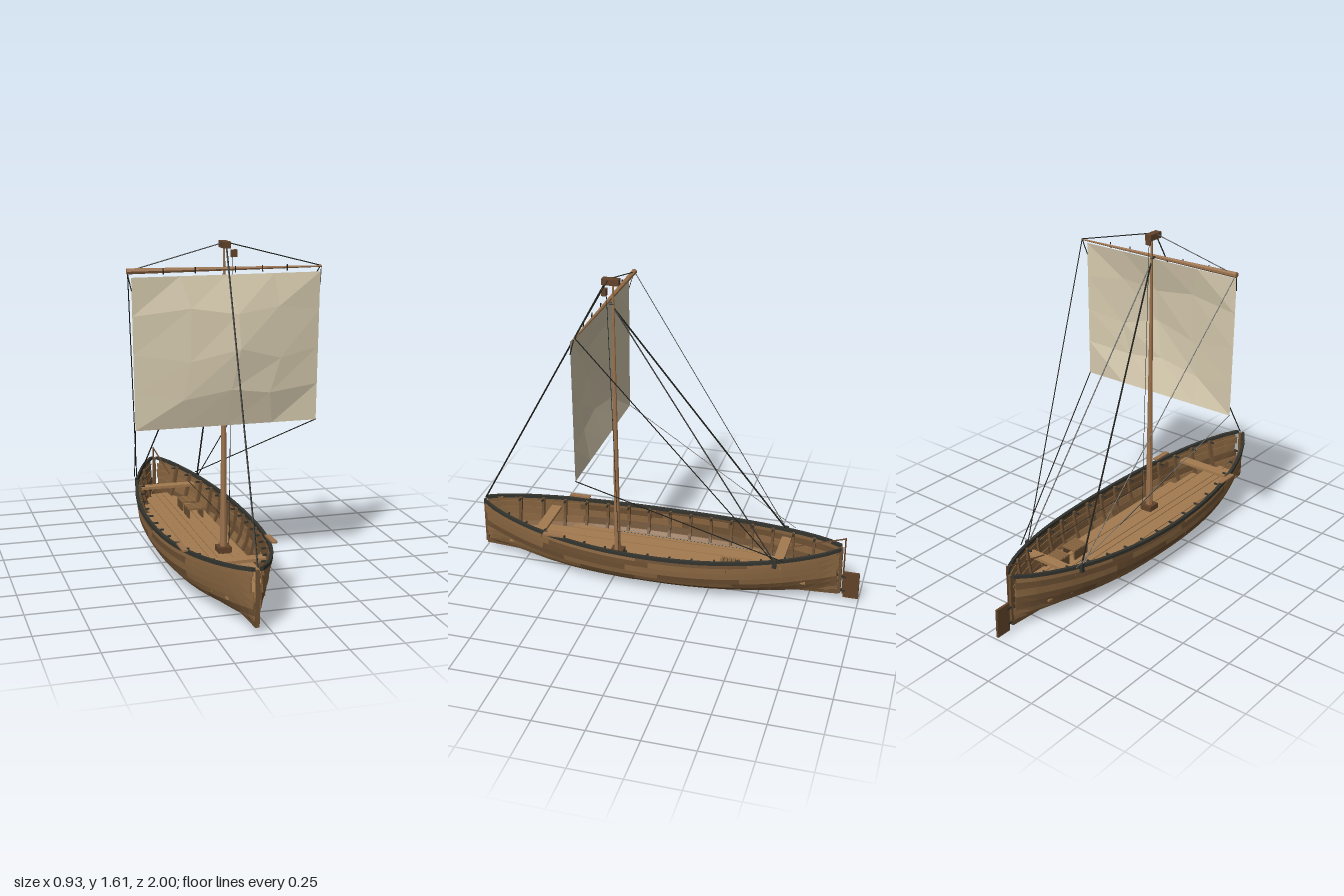
import * as THREE from 'three';

const CX = -0.07; // hull centreline
const paint = (name, color) => {
  const m = new THREE.MeshStandardMaterial({ color, flatShading: true, side: THREE.DoubleSide });
  m.name = name;
  return m;
};
const mats = {
  plank: paint('plank wood', 0x886540),
  plankDark: paint('dark plank wood', 0x6c4f32),
  deck: paint('deck wood', 0xa37a4f),
  mast: paint('spar wood', 0x9c724c),
  block: paint('block wood', 0x62432a),
  trim: paint('dark trim', 0x33342e),
  rope: paint('rope', 0x22221e),
  sail: paint('sailcloth', 0xd6caae),
};

// Hull lines
const along = z => Math.min(1, Math.abs((z - 0.045) / 0.95));
const halfWidth = z => 0.008 + 0.235 * Math.pow(1 - Math.pow(along(z), 2.2), 0.8);
const sheer = z => 0.228 + 0.065 * along(z) ** 2;
const keelY = z => 0.018 + 0.03 * along(z) ** 2;
const PROFILE = [[0, 0], [0.42, 0.03], [0.7, 0.14], [0.87, 0.32], [0.95, 0.55], [0.99, 0.8], [1, 1]];

// Point on the hull: side, girth v (0 keel, 1 rail), station z, outward offset
function hullPoint(side, v, z, out = 0) {
  const t = Math.min(v, 0.9999) * (PROFILE.length - 1), i = Math.floor(t), f = t - i;
  const fx = PROFILE[i][0] + (PROFILE[i + 1][0] - PROFILE[i][0]) * f;
  const fy = PROFILE[i][1] + (PROFILE[i + 1][1] - PROFILE[i][1]) * f;
  const sharp = along(z) ** 4;
  const x = fx * (1 - sharp) + Math.pow(fy, 0.6) * sharp;
  const y = keelY(z) + fy * (sheer(z) - keelY(z));
  return new THREE.Vector3(CX + side * Math.max(0, x * halfWidth(z) + out * Math.min(1, v * 2)),
    y - out * (1 - Math.min(1, v * 2)), z);
}

// Solid skin through four-cornered sections, capped at both ends
function loft(sections) {
  const pos = [], idx = [], n = sections.length;
  sections.forEach(s => s.forEach(p => pos.push(p.x, p.y, p.z)));
  for (let i = 0; i < n - 1; i++) for (let k = 0; k < 4; k++) {
    const a = i * 4 + k, b = i * 4 + (k + 1) % 4;
    idx.push(a, b, a + 4, b, b + 4, a + 4);
  }
  const e = (n - 1) * 4;
  idx.push(0, 2, 1, 0, 3, 2, e, e + 1, e + 2, e, e + 2, e + 3);
  const g = new THREE.BufferGeometry();
  g.setAttribute('position', new THREE.Float32BufferAttribute(pos, 3));
  g.setIndex(idx);
  g.computeVertexNormals();
  return g;
}

const range = (a, b, n) => Array.from({ length: n + 1 }, (_, i) => a + (b - a) * i / n);

export function createModel() {
  const model = new THREE.Group();
  model.name = 'sailingBoat';
  let seed = 11;
  const rand = () => (seed = (seed * 16807) % 2147483647) / 2147483647;
  const group = name => {
    const g = new THREE.Group();
    g.name = name;
    model.add(g);
    return g;
  };
  const add = (name, geo, mat, parent = model) => {
    const m = new THREE.Mesh(geo, mat);
    m.name = name;
    parent.add(m);
    return m;
  };
  const box = (name, w, h, d, x, y, z, mat, parent) => {
    const m = add(name, new THREE.BoxGeometry(w, h, d), mat, parent);
    m.position.set(x, y, z);
    return m;
  };
  const rod = (name, a, b, r0, r1, mat, parent, sides = 5) => {
    const p = new THREE.Vector3(...a), q = new THREE.Vector3(...b), d = q.clone().sub(p);
    const m = add(name, new THREE.CylinderGeometry(r1, r0, d.length(), sides), mat, parent);
    m.position.copy(p).add(q).multiplyScalar(0.5);
    m.quaternion.setFromUnitVectors(new THREE.Vector3(0, 1, 0), d.normalize());
    return m;
  };

  // Overlapping strakes, each made of staggered planks of mixed tone
  const hull = group('hullPlanking'), STRAKES = 9;
  for (const side of [-1, 1]) for (let s = 0; s < STRAKES; s++) {
    const v0 = s / STRAKES, v1 = Math.min(1, (s + 1.15) / STRAKES);
    const cuts = [-0.895 + rand() * 0.012, -0.5 + rand() * 0.25, -0.05 + rand() * 0.2, 0.4 + rand() * 0.25, 0.972 + rand() * 0.015];
    for (let k = 0; k < 4; k++) {
      const lap = rand() * 0.003;
      const secs = range(cuts[k], cuts[k + 1] + (k < 3 ? 0.01 : 0), 6).map(z => [
        hullPoint(side, v0, z, 0.007 + lap), hullPoint(side, v1, z, 0.001 + lap),
        hullPoint(side, v1, z, -0.004), hullPoint(side, v0, z, 0.001)]);
      add('plank', loft(secs), rand() < 0.35 ? mats.plankDark : mats.plank, hull);
    }
  }

  // Slim dark rail along the sheer
  for (const side of [-1, 1]) {
    const secs = range(-0.9, 0.99, 28).map(z => {
      const p = hullPoint(side, 1, z);
      return [[0.011, -0.008], [0.011, 0.009], [-0.005, 0.009], [-0.005, -0.008]].map(([o, h]) =>
        new THREE.Vector3(CX + side * Math.max(0, (p.x - CX) * side + o), p.y + h, z));
    });
    add('gunwale', loft(secs), mats.trim);
  }

  // Keel and end posts
  add('keel', loft(range(-0.9, 0.99, 16).map(z => [[-1, 0], [1, 0], [1, 1], [-1, 1]].map(([a, b]) =>
    new THREE.Vector3(CX + a * 0.009, keelY(z) - 0.018 + b * 0.024, z)))), mats.plankDark);
  box('stemPost', 0.016, 0.25, 0.014, CX, 0.165, 0.991, mats.plankDark);
  box('sternPost', 0.016, 0.26, 0.016, CX, 0.165, -0.9, mats.plankDark);

  // Ribs with dark heads at the rail
  const ribs = group('ribs');
  for (const z of range(-0.75, 0.83, 14)) for (const side of [-1, 1]) {
    add('rib', loft(range(0.15, 1, 7).map(v => [
      hullPoint(side, v, z - 0.007, -0.004), hullPoint(side, v, z + 0.007, -0.004),
      hullPoint(side, v, z + 0.007, -0.018), hullPoint(side, v, z - 0.007, -0.018)])), mats.plankDark, ribs);
    const p = hullPoint(side, 1, z, -0.022);
    box('ribHead', 0.034, 0.008, 0.008, p.x, p.y - 0.006, z, mats.trim, ribs);
  }

  // Deck boards cut to the hull's width
  const deck = group('deck');
  for (let i = -4; i <= 4; i++) {
    const x = i * 0.036, fits = z => halfWidth(z) * 0.84 > Math.abs(x) + 0.018;
    let a = -0.8, b = 0.87;
    while (!fits(a)) a += 0.01;
    while (!fits(b)) b -= 0.01;
    box('deckBoard', 0.034, 0.01, b - a, CX + x, 0.11 + (i % 2) * 0.002, (a + b) / 2, mats.deck, deck);
  }

  // Cross benches and side boards
  box('aftBench', 0.3, 0.014, 0.05, CX, 0.215, -0.6, mats.deck);
  box('foreBench', 0.29, 0.014, 0.055, CX, 0.215, 0.645, mats.deck);
  for (const side of [-1, 1]) {
    box('sideBoard', 0.026, 0.008, 0.11, CX + side * 0.212, 0.261, 0.535, mats.mast);
    box('shroudCleat', 0.016, 0.045, 0.02, CX + side * 0.168, 0.25, -0.595, mats.trim);
  }

  // Slatted hatches on the after deck
  const hatches = group('slattedHatches');
  for (const z of [-0.485, -0.35]) {
    for (let i = 0; i < 5; i++) box('slat', 0.08, 0.01, 0.015, 0.012, 0.165, z + (i - 2) * 0.02, mats.plank, hatches);
    for (const x of [-0.024, 0.048]) box('hatchSide', 0.008, 0.05, 0.095, x, 0.137, z, mats.plankDark, hatches);
  }

  // Rudder and tiller
  box('rudder', 0.012, 0.145, 0.078, CX, 0.085, -0.96, mats.block);
  for (const y of [0.05, 0.13]) box('rudderHinge', 0.014, 0.01, 0.04, CX, y, -0.912, mats.trim);
  rod('rudderStock', [CX, 0.03, -0.918], [CX, 0.35, -0.918], 0.004, 0.004, mats.block);
  rod('tiller', [CX, 0.347, -0.92], [-0.045, 0.268, -0.64], 0.004, 0.003, mats.block);

  // Mast, blocks and yard
  rod('mast', [0, 0.11, 0.24], [0, 1.585, 0.24], 0.018, 0.005, mats.mast, model, 8);
  box('mastFoot', 0.065, 0.03, 0.065, 0, 0.13, 0.24, mats.block);
  box('mastheadBlock', 0.036, 0.03, 0.085, 0, 1.593, 0.25, mats.block);
  box('halyardBlock', 0.028, 0.034, 0.022, 0.038, 1.553, 0.27, mats.block);
  rod('yard', [-0.465, 1.486, 0.275], [0.465, 1.482, 0.275], 0.014, 0.004, mats.mast, model, 7);
  rod('yardCollar', [0, 1.484, 0.235], [0, 1.484, 0.262], 0.007, 0.007, mats.trim);

  // Faceted square sail, bellied forward
  const sail = new THREE.PlaneGeometry(0.9, 0.705, 4, 4), sp = sail.attributes.position;
  for (let i = 0; i < sp.count; i++) {
    const u = sp.getX(i) / 0.45, w = sp.getY(i) / 0.3525;
    const inside = Math.abs(u) < 0.99 && Math.abs(w) < 0.99;
    const belly = Math.cos(u * Math.PI / 2) * Math.pow(Math.max(0, 1 - w * w), 0.8);
    const jx = inside ? (rand() - 0.5) * 0.1 : 0, jy = inside ? (rand() - 0.5) * 0.08 : 0;
    sp.setXYZ(i, sp.getX(i) * (0.987 + 0.012 * w) + jx, 1.1075 + sp.getY(i) + jy,
      0.299 + 0.055 * belly + (inside ? (rand() - 0.5) * 0.012 : 0));
  }
  sail.computeVertexNormals();
  add('sail', sail, mats.sail);

  // Rigging
  const rig = group('rigging');
  const rope = (name, a, b, r = 0.0025) => rod(name, a, b, r, r, mats.rope, rig, 4);
  rope('forestay', [CX, 0.3, 0.988], [0, 1.58, 0.28], 0.004);
  for (const side of [-1, 1]) {
    const foot = CX + side * 0.166;
    rope('shroud', [0, 1.46, 0.235], [foot, 0.25, -0.6], 0.004);
    rope('brace', [side * 0.46, 1.485, 0.272], [foot, 0.25, -0.6]);
    rope('sheet', [side * 0.438, 0.757, 0.3], [CX + side * 0.17, 0.27, -0.64]);
    rope('yardLift', [0, 1.605, 0.26], [side * 0.463, 1.485, 0.272]);
    rope('earing', [side * 0.463, 1.485, 0.275], [side * 0.449, 1.4, 0.3]);
  }
  rope('halyard', [0.033, 1.54, 0.262], [0.033, 0.13, 0.222], 0.0015);
  rope('deckLine', [0.02, 0.265, 0.22], [0.02, 0.265, -0.48], 0.002);
  for (const x of [-0.3, -0.15, 0.04, 0.17, 0.29])
    rope('yardTie', [x, 1.497, 0.288], [x, 1.468, 0.29], 0.003);

  return model;
}
